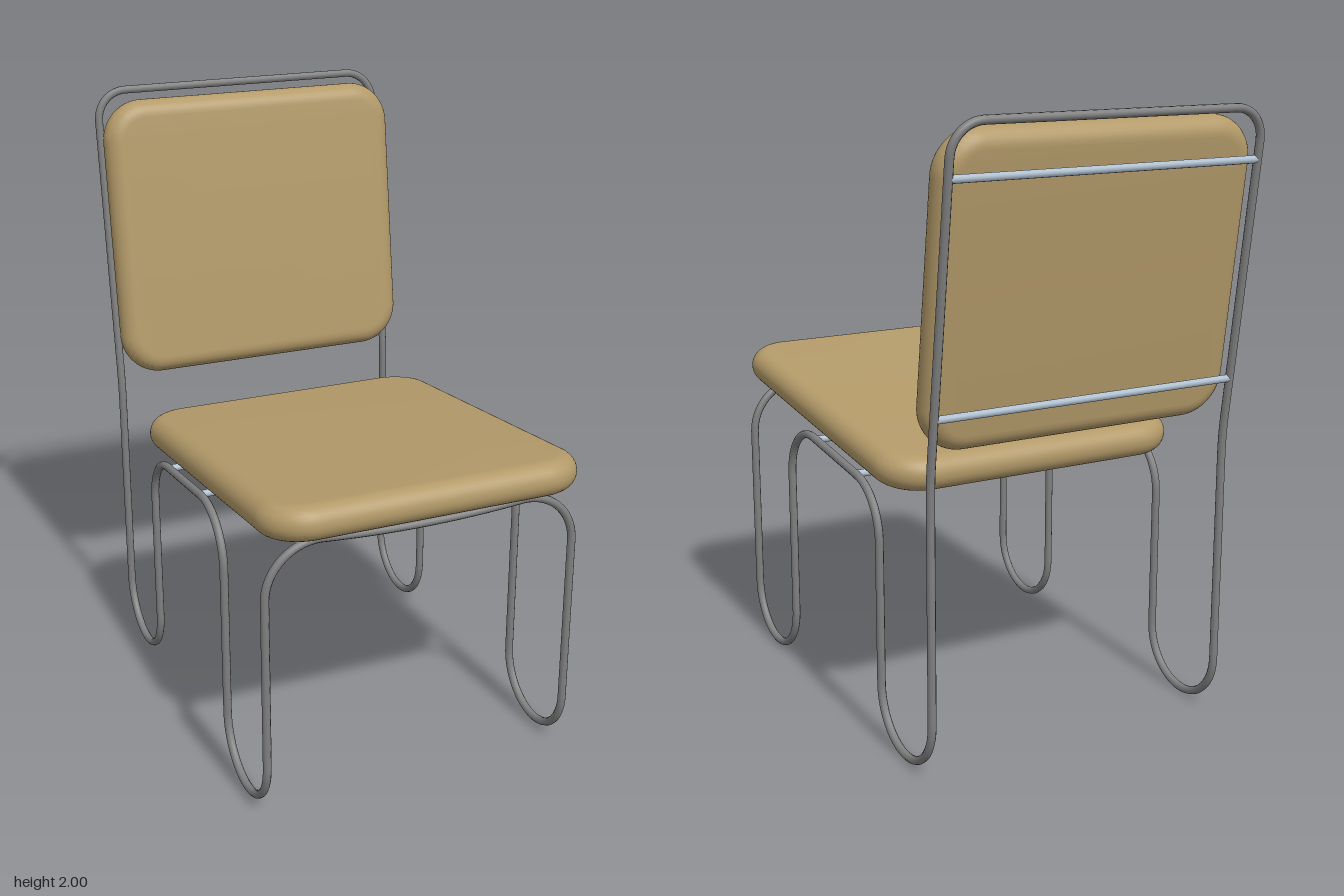
import * as THREE from 'three';
import { toCreasedNormals } from 'three/addons/utils/BufferGeometryUtils.js';

const TUBE = 0.0135;   // tube radius of the frame
const HALF = 0.52;     // half width between the side frames
const PAD = 0.056;     // half thickness of the cushions

const frameMat = new THREE.MeshStandardMaterial({ color: 0x808080 });
const barMat = new THREE.MeshStandardMaterial({ color: 0xb0c0d0 });
const padMat = new THREE.MeshStandardMaterial({ color: 0xb39a69 });

const v = (x, y, z) => new THREE.Vector3(x, y, z);

// Bent tube path: straight runs joined by round bends; corners are [point, bend radius]
function bentPath(corners) {
  const path = new THREE.CurvePath();
  let from = corners[0][0];
  for (let i = 1; i < corners.length - 1; i++) {
    const [p, r] = corners[i];
    const d0 = p.clone().sub(corners[i - 1][0]).normalize();
    const d1 = corners[i + 1][0].clone().sub(p).normalize();
    const turn = d0.angleTo(d1);
    const t = r * Math.tan(turn / 2);
    const k = (4 / 3) * Math.tan(turn / 4) * r;
    const a = p.clone().addScaledVector(d0, -t);
    const b = p.clone().addScaledVector(d1, t);
    if (from.distanceTo(a) > 0.003) path.add(new THREE.LineCurve3(from, a));
    path.add(new THREE.CubicBezierCurve3(
      a, a.clone().addScaledVector(d0, k), b.clone().addScaledVector(d1, -k), b));
    from = b;
  }
  path.add(new THREE.LineCurve3(from, corners[corners.length - 1][0]));
  return path;
}

// Cushion with rounded corners and a fully rounded rim
function cushion(name, width, length, corner) {
  const x = width / 2 - PAD, y = length / 2 - PAD, r = corner - PAD;
  const s = new THREE.Shape();
  s.absarc(x - r, y - r, r, 0, Math.PI / 2);
  s.absarc(-x + r, y - r, r, Math.PI / 2, Math.PI);
  s.absarc(-x + r, -y + r, r, Math.PI, Math.PI * 1.5);
  s.absarc(x - r, -y + r, r, Math.PI * 1.5, Math.PI * 2);
  s.closePath();
  const geo = new THREE.ExtrudeGeometry(s, {
    depth: 0.002, bevelThickness: PAD - 0.001, bevelSize: PAD, bevelSegments: 8, curveSegments: 10,
  });
  geo.translate(0, 0, -0.001);
  const mesh = new THREE.Mesh(toCreasedNormals(geo, 0.7), padMat);
  mesh.name = name;
  return mesh;
}

// Straight bar across the frame
function crossBar(name, y, z) {
  const geo = new THREE.CylinderGeometry(TUBE * 0.9, TUBE * 0.9, HALF * 2, 12);
  geo.rotateZ(Math.PI / 2);
  const mesh = new THREE.Mesh(geo, barMat);
  mesh.name = name;
  mesh.position.set(0, y, z);
  return mesh;
}

export function createModel() {
  const chair = new THREE.Group();
  chair.name = 'chair';

  // One side of the frame, front to back: [y, z, bend radius]
  const side = [
    [0.93, 0.722, 0.174],        // front bar into front leg
    [TUBE, 0.722, 0.174],        // front foot loop
    [TUBE, 0.374, 0.174],
    [0.892, 0.374, 0.175],       // seat rail
    [0.817, -0.32, 0.175],
    [TUBE, -0.32, 0.174],        // rear foot loop
    [TUBE, -0.669, 0.174],
    [0.95, -0.669, 1],           // upright leans back
    [1.986, -0.807, 0.1],        // top corner
  ];
  const left = side.map(([y, z, r]) => [v(HALF, y, z), r]);
  const right = side.map(([y, z, r]) => [v(-HALF, y, z), r]).reverse();
  const start = v(0.34, 0.93, 0.722), end = v(-0.34, 0.93, 0.722);
  const path = bentPath([[start, 0], ...left, ...right, [end, 0]]);
  // Sagging middle of the front bar
  path.add(new THREE.QuadraticBezierCurve3(end, v(0, 0.9, 0.722), start));
  path.arcLengthDivisions = 1000;
  const frame = new THREE.Mesh(new THREE.TubeGeometry(path, 700, TUBE, 10, true), frameMat);
  frame.name = 'tubularFrame';
  chair.add(frame);

  // Bars carrying the seat and the backrest
  chair.add(
    crossBar('frontSeatBar', 0.868, 0.16),
    crossBar('rearSeatBar', 0.834, -0.15),
    crossBar('upperBackBar', 1.83, -0.786),
    crossBar('lowerBackBar', 1.14, -0.694),
  );

  // Cushions
  const seat = cushion('seatCushion', 1.06, 1.27, 0.15);
  seat.position.set(0, 0.948, 0.188);
  seat.rotation.x = -Math.PI / 2 - 0.108;
  const back = cushion('backCushion', 1.06, 0.955, 0.14);
  back.position.set(0, 1.491, -0.663);
  back.rotation.x = -0.136;
  chair.add(seat, back);

  return chair;
}
